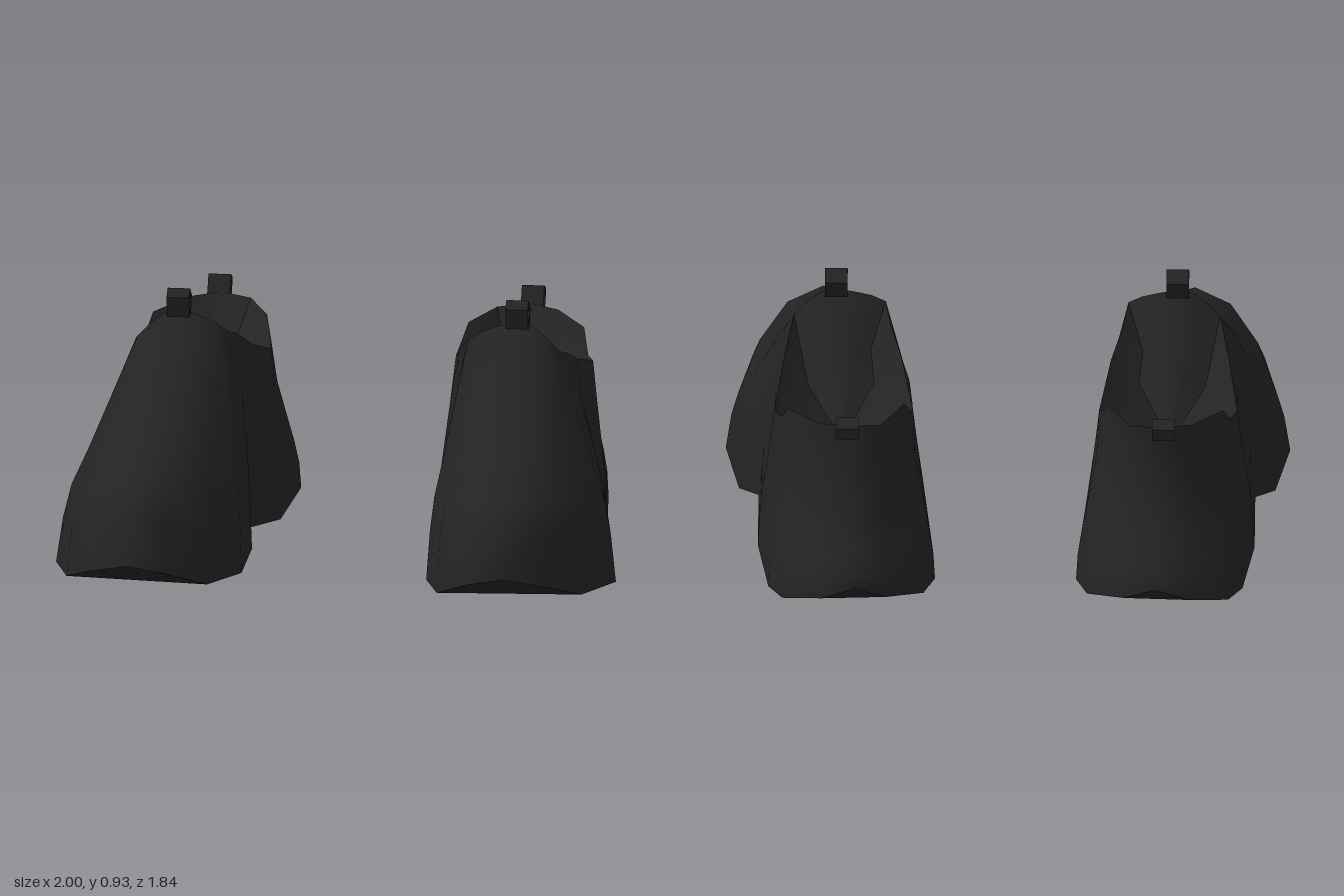
import * as THREE from 'three';
import { toCreasedNormals } from 'three/addons/utils/BufferGeometryUtils.js';

// Outlines of one shoe as [x, y, z]: outer side from toe to heel, then inner side from toe to heel.
const SOLE_OUTER = [[.67, .16, .915], [.81, .12, .85], [.92, .045, .67], [1, 0, .34], [.95, .005, .04], [.88, .04, -.07],
  [.88, 0, -.36], [.84, .02, -.69], [.79, .035, -.8], [.65, .09, -.9], [.53, .14, -.92]];
const SOLE_INNER = [[.54, .13, .89], [.41, .05, .73], [.33, 0, .4], [.33, .005, .11], [.37, .04, -.02],
  [.28, 0, -.29], [.25, .02, -.63], [.29, .035, -.76], [.42, .08, -.87]];
const RIM_OUTER = [[.6, .84, 0], [.66, .83, 0], [.71, .79, 0], [.755, .74, -.01], [.77, .71, -.09], [.79, .66, -.2],
  [.82, .59, -.42], [.795, .59, -.48], [.77, .67, -.56], [.66, .69, -.7], [.55, .7, -.74]];
const RIM_INNER = [[.54, .83, 0], [.48, .81, .01], [.43, .78, .02], [.41, .74, -.09], [.37, .67, -.2],
  [.33, .59, -.42], [.34, .62, -.48], [.36, .68, -.54], [.44, .69, -.71]];

// Closed rings running counter-clockwise seen from above
const SOLE = [...SOLE_OUTER, ...SOLE_INNER.slice().reverse()];
const RIM = [...RIM_OUTER, ...RIM_INNER.slice().reverse()];
const N = SOLE.length;

// [plan, height] fractions from sole to rim for the toe, flank and heel walls
const TOE = [[0, 0], [.03, .26], [.16, .38], [.51, .54], [.8, .78], [1, 1]];
const FLANK = [[0, 0], [.1, .2], [.2, .36], [.36, .5], [.67, .75], [1, 1]];
const HEEL = [[0, 0], [0, .09], [.3, .22], [.55, .35], [1, .64], [1, 1]];
const TOE_WEIGHT = [1, .8, .5, .2, 0, 0, 0, 0, 0, 0, 0];
const HEEL_WEIGHT = [0, 0, 0, 0, 0, 0, .1, .35, .7, .9, 1];

const lerp = THREE.MathUtils.lerp;
const mix = (a, b, plan, height) => [lerp(a[0], b[0], plan), lerp(a[1], b[1], height), lerp(a[2], b[2], plan)];
const station = (i) => Math.min(i, N - i);

// Indexed surface, mirrored for side = -1
function surface(points, faces, side) {
  const g = new THREE.BufferGeometry();
  const pos = points.flatMap(([x, y, z]) => [x * side, y, z]);
  g.setAttribute('position', new THREE.Float32BufferAttribute(pos, 3));
  g.setIndex(faces.flatMap(([a, b, c]) => (side > 0 ? [a, b, c] : [a, c, b])));
  g.computeVertexNormals();
  return g;
}

// Quads joining a stack of closed rings
function ringFaces(rows) {
  const faces = [];
  for (let r = 0; r < rows - 1; r++) {
    for (let i = 0; i < N; i++) {
      const a = r * N + i, b = r * N + (i + 1) % N;
      faces.push([a, b, b + N], [a, b + N, a + N]);
    }
  }
  return faces;
}

function upperGeometry(side) {
  const points = TOE.flatMap((_, r) => SOLE.map((p, i) => {
    const t = TOE_WEIGHT[station(i)], h = HEEL_WEIGHT[station(i)];
    const f = [0, 1].map((k) => TOE[r][k] * t + HEEL[r][k] * h + FLANK[r][k] * (1 - t - h));
    return mix(p, RIM[i], f[0], f[1]);
  }));
  return surface(points, ringFaces(TOE.length), side);
}

// Sole: strip between opposite outline points
function soleGeometry(side) {
  const faces = [];
  for (let i = 0; i < N / 2; i++) {
    const a = i, b = i + 1, c = (N - i - 1) % N, d = (N - i) % N;
    if (b !== c) faces.push([a, c, b]);
    if (a !== d) faces.push([a, d, c]);
  }
  return surface(SOLE, faces, side);
}

// Lining: straight tongue in front, bowl at the sides and heel
function liningGeometry(side) {
  const floor = [.58, .42, -.35];
  const middle = RIM.map((p, i) => mix(p, floor, .35, station(i) <= 3 ? .35 : .55));
  const faces = ringFaces(2);
  for (let i = 0; i < N; i++) faces.push([N + i, N + (i + 1) % N, 2 * N]);
  return toCreasedNormals(surface([...RIM, ...middle, floor], faces, side), .6);
}

// Pull loop: a hollow band, profile given as [z, y]
function loopGeometry(profile) {
  const width = .08;
  const pts = profile.map(([z, y]) => new THREE.Vector2(z, y));
  const centre = pts.reduce((s, p) => s.add(p), new THREE.Vector2()).divideScalar(pts.length);
  const shape = new THREE.Shape(pts);
  shape.holes.push(new THREE.Path(pts.map((p) => p.clone().lerp(centre, .4))));
  const g = new THREE.ExtrudeGeometry(shape, { depth: width, bevelEnabled: false });
  return g.translate(0, 0, -width / 2).rotateY(-Math.PI / 2);
}

export function createModel() {
  const fabric = new THREE.MeshStandardMaterial({ color: 0x232323 });
  fabric.name = 'black fabric';
  const model = new THREE.Group();
  model.name = 'pairOfShoes';

  const frontLoop = loopGeometry([[0, .925], [-.045, .89], [-.02, .82], [.015, .82], [.037, .9]]);
  const heelLoop = loopGeometry([[-.775, .755], [-.82, .735], [-.808, .685], [-.738, .645], [-.738, .69]]);

  for (const side of [1, -1]) {
    const shoe = new THREE.Group();
    shoe.name = side > 0 ? 'leftShoe' : 'rightShoe';
    const add = (name, geometry, x = 0) => {
      const mesh = new THREE.Mesh(geometry, fabric);
      mesh.name = name;
      mesh.position.x = x * side;
      shoe.add(mesh);
    };
    add('upper', upperGeometry(side));
    add('sole', soleGeometry(side));
    add('lining', liningGeometry(side));
    add('frontPullLoop', frontLoop, .605);
    add('heelPullLoop', heelLoop, .56);
    model.add(shoe);
  }
  return model;
}
